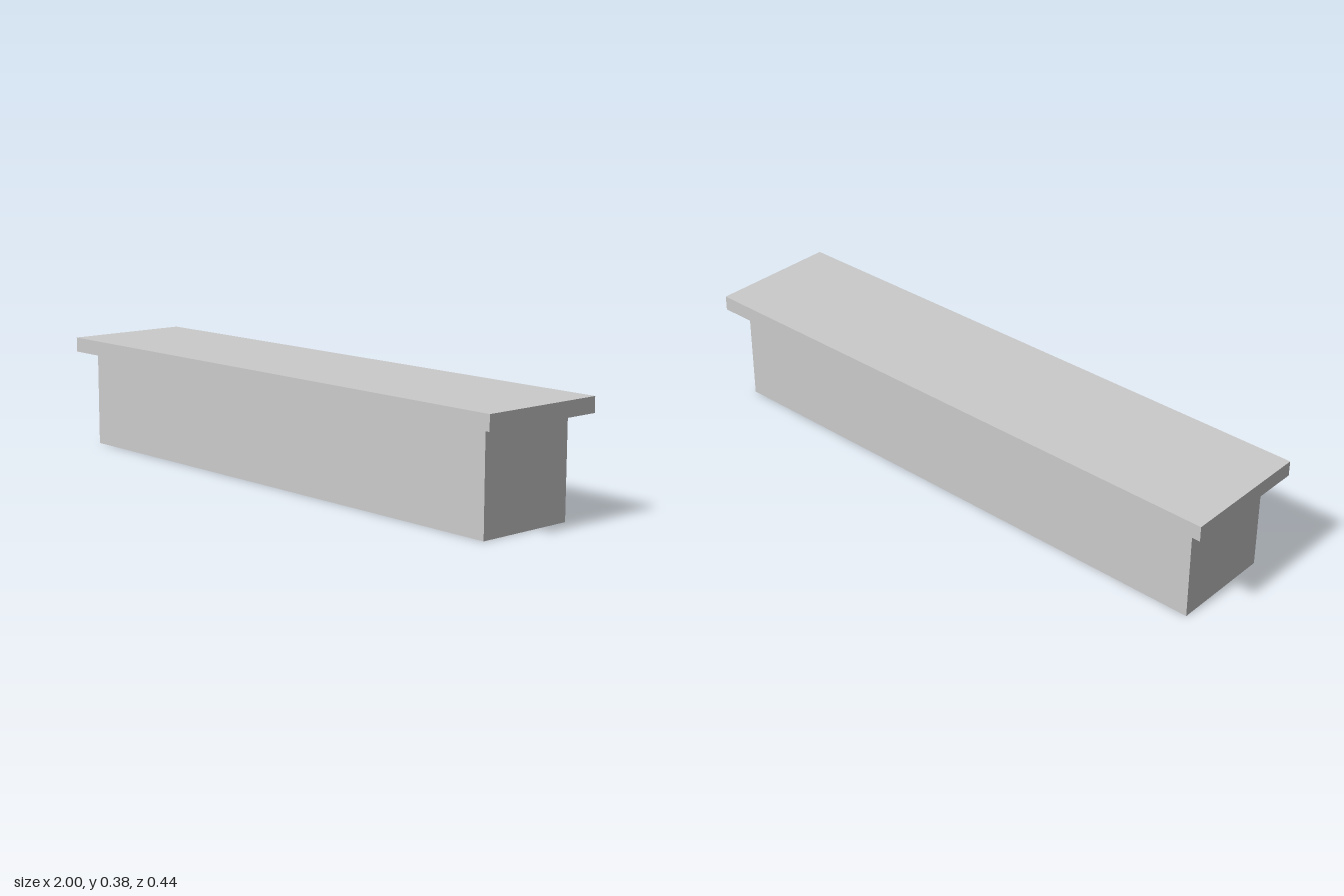
import * as THREE from 'three';

export function createModel() {
  const group = new THREE.Group();
  const material = new THREE.MeshStandardMaterial({ color: 0xcccccc, flatShading: true });

  // Adds a box standing on the given height
  const addBox = (name, width, height, depth, bottom) => {
    const mesh = new THREE.Mesh(new THREE.BoxGeometry(width, height, depth), material);
    mesh.name = name;
    mesh.position.y = bottom + height / 2;
    group.add(mesh);
  };

  const bodyHeight = 0.328;
  addBox('body', 1.88, bodyHeight, 0.346, 0);
  // Overhanging slab on top
  addBox('topSlab', 2, 0.05, 0.442, bodyHeight);

  return group;
}
